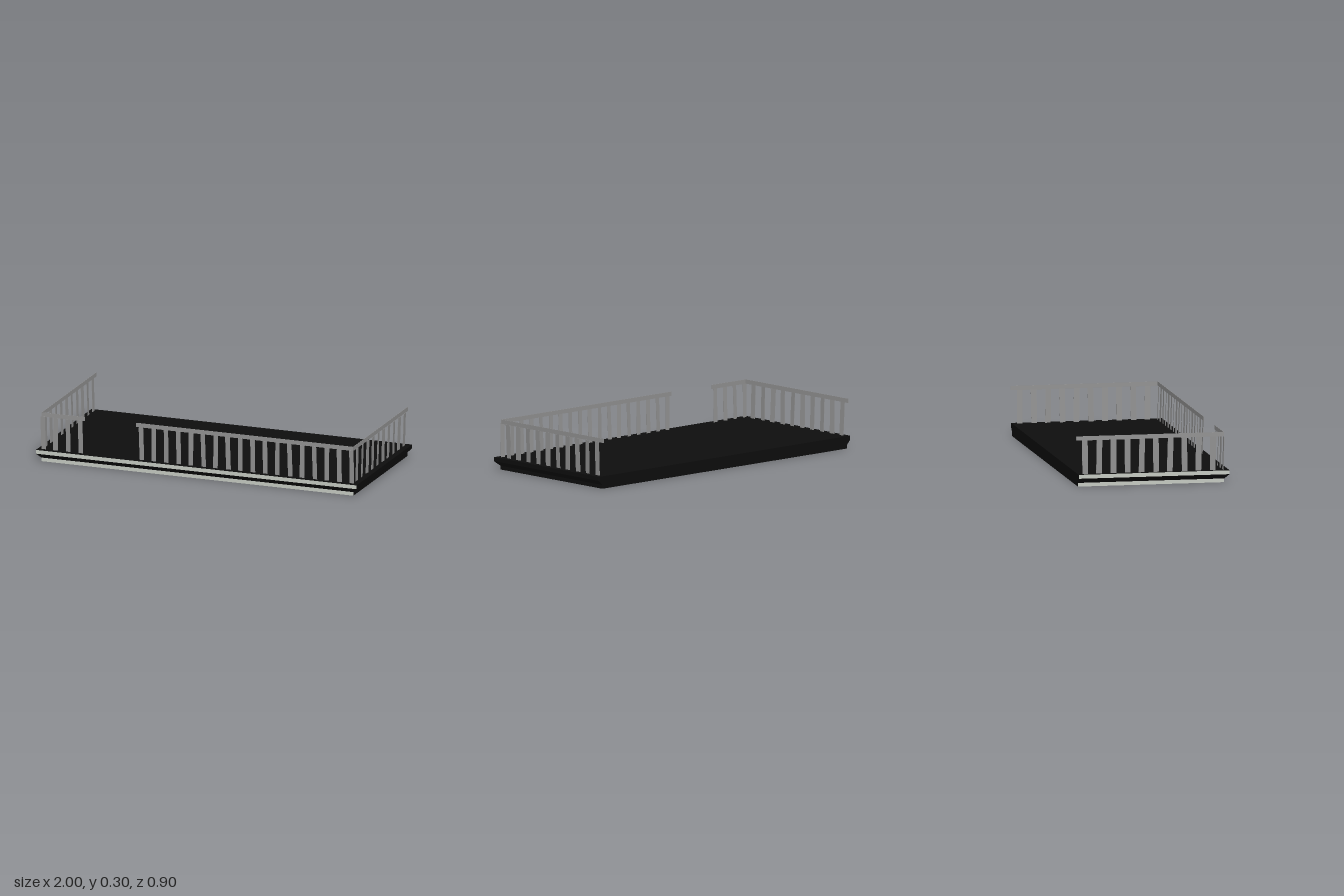
import * as THREE from 'three';

const flat = (name, color, side = THREE.FrontSide) => {
  const m = new THREE.MeshStandardMaterial({ color, side });
  m.name = name;
  return m;
};

// Faces given as lists of four corners, counter-clockwise from outside
function quadMesh(name, quads, material) {
  const pos = [];
  for (const [a, b, c, d] of quads) pos.push(...a, ...b, ...c, ...a, ...c, ...d);
  const g = new THREE.BufferGeometry();
  g.setAttribute('position', new THREE.Float32BufferAttribute(pos, 3));
  g.computeVertexNormals();
  const mesh = new THREE.Mesh(g, material);
  mesh.name = name;
  return mesh;
}

export function createModel() {
  const root = new THREE.Group();
  root.name = 'balcony';
  const black = flat('deck black', 0x0d0d0d);
  const trim = flat('pale trim', 0xc4c8c0);
  const grey = flat('railing grey', 0x909090, THREE.DoubleSide);

  // Slab: stacked outlines, flush at the back and overhanging elsewhere
  const ring = (y, x0, x1, z0, z1) =>
    [[x0, y, z1], [x1, y, z1], [x1, y, z0], [x0, y, z0]];
  const rings = [
    ring(0, -0.975, 0.97, -0.442, 0.425),
    ring(0.022, -0.975, 0.97, -0.442, 0.425),
    ring(0.05, -1, 1, -0.442, 0.452),
    ring(0.073, -1, 1, -0.442, 0.452),
  ];
  const dark = [rings[3], [...rings[0]].reverse()];
  const pale = [];
  for (let level = 0; level < 3; level++) {
    for (let side = 0; side < 4; side++) {
      const next = (side + 1) % 4;
      const lo = rings[level], hi = rings[level + 1];
      // Upright bands on the front and the -x end are pale
      const isPale = level !== 1 && (side === 0 || side === 3);
      (isPale ? pale : dark).push([lo[side], lo[next], hi[next], hi[side]]);
    }
  }
  root.add(quadMesh('deckSlab', dark, black), quadMesh('edgeTrim', pale, trim));

  // Railing: thin flat handrail with slightly crooked flat slats, along local x
  function railing(name, start, end, first, last, count, width) {
    const group = new THREE.Group();
    group.name = name;
    const rail = new THREE.Mesh(new THREE.BoxGeometry(end - start, 0.025, 0.002), grey);
    rail.name = 'handrail';
    rail.position.set((start + end) / 2, 0.283, 0);
    group.add(rail);
    for (let i = 0; i < count; i++) {
      const slat = new THREE.Mesh(new THREE.BoxGeometry(width, 0.2, 0.002), grey);
      slat.name = 'slat';
      slat.position.set(first + (last - first) * i / (count - 1), 0.171, 0);
      slat.rotation.set(0.03, 0.12 * Math.sin(i * 2.1), 0.025 * Math.sin(i * 2.7 + 1));
      group.add(slat);
    }
    root.add(group);
    return group;
  }

  // Front railing in two runs with the entrance gap between them
  railing('frontRailingShort', -0.975, -0.705, -0.966, -0.733, 4, 0.028).position.z = 0.422;
  railing('frontRailingLong', -0.385, 0.97, -0.353, 0.958, 18, 0.028).position.z = 0.422;

  // End railings
  for (const [name, side] of [['leftRailing', 1], ['rightRailing', -1]]) {
    const end = side > 0
      ? railing(name, -0.425, 0.452, -0.361, 0.397, 10, 0.034)
      : railing(name, -0.452, 0.425, -0.4, 0.358, 10, 0.034);
    end.rotation.y = side * Math.PI / 2;
    end.position.x = side > 0 ? 0.968 : -0.974;
  }
  return root;
}
